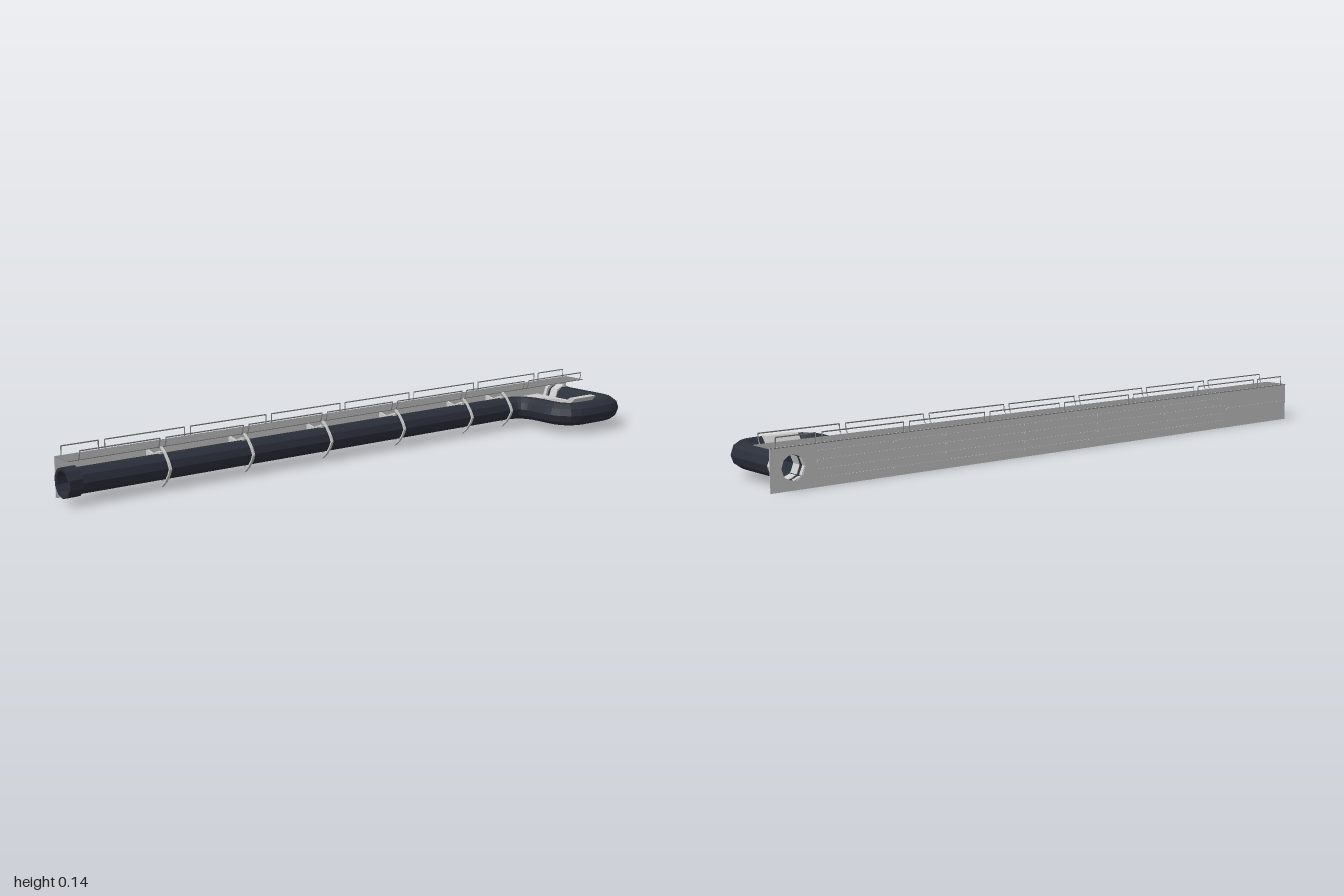
import * as THREE from 'three';

const TUBE_Y = 0.06, TUBE_X = -0.085;
const mat = (color) => new THREE.MeshStandardMaterial({ color, flatShading: true, side: THREE.DoubleSide });
const light = mat(0xcccccc), grey = mat(0x808080), dark = mat(0x2b2f3a);

function add(parent, name, geometry, material, x = 0, y = 0, z = 0) {
  const mesh = new THREE.Mesh(geometry, material);
  mesh.name = name;
  mesh.position.set(x, y, z);
  parent.add(mesh);
  return mesh;
}

const box = (w, h, d) => new THREE.BoxGeometry(w, h, d);
const polygon = (pts) => new THREE.Shape(pts.map(([x, y]) => new THREE.Vector2(x, y)));
const extrude = (shape, depth) => new THREE.ExtrudeGeometry(shape, { depth, bevelEnabled: false, curveSegments: 5 });

// Polyline with rounded corners; corners are [x, z, radius]
function roundedPath(corners) {
  const path = new THREE.CurvePath();
  const pts = corners.map(([x, z]) => new THREE.Vector3(x, TUBE_Y, z));
  let start = pts[0];
  for (let i = 1; i < pts.length - 1; i++) {
    const r = corners[i][2], p = pts[i];
    const a = p.clone().add(pts[i - 1].clone().sub(p).setLength(r));
    const b = p.clone().add(pts[i + 1].clone().sub(p).setLength(r));
    path.add(new THREE.LineCurve3(start, a));
    path.add(new THREE.QuadraticBezierCurve3(a, p, b));
    start = b;
  }
  path.add(new THREE.LineCurve3(start, pts[pts.length - 1]));
  return path;
}

// Open sleeve made by turning a small rectangular section
function sleeve(inner, outer, length, sides) {
  const h = length / 2;
  const profile = [[inner, -h], [outer, -h], [outer, h], [inner, h], [inner, -h]];
  return new THREE.LatheGeometry(profile.map(([x, y]) => new THREE.Vector2(x, y)), sides);
}

// Railing section: top bar and two posts, bent outwards by lean
function railSection(parent, name, x, z0, z1, lean) {
  const rail = new THREE.Group();
  rail.name = name;
  parent.add(rail);
  const top = x + lean;
  add(rail, 'railBar', box(0.003, 0.003, Math.abs(z1 - z0)), grey, top, 0.1435, (z0 + z1) / 2);
  const bend = new THREE.QuadraticBezierCurve3(
    new THREE.Vector3(x, 0.115, 0), new THREE.Vector3(x + lean * 0.9, 0.124, 0), new THREE.Vector3(top, 0.1435, 0));
  for (const z of [z0, z1]) add(rail, 'railPost', new THREE.TubeGeometry(bend, 4, 0.0018, 4), grey, 0, 0, z);
}

export function createModel() {
  const model = new THREE.Group();
  model.name = 'walkwayWithDuct';

  // Side wall with the round duct opening near the back
  const wall = polygon([[-1, 0], [0.98, 0], [0.98, 0.117], [-1, 0.117]]);
  wall.holes.push(new THREE.Path().absarc(-0.93, TUBE_Y, 0.036, 0, Math.PI * 2, true));
  add(model, 'sideWall', extrude(wall, 0.002).rotateY(-Math.PI / 2), light, -0.162);

  // Lengthwise ribs on the wall, one set per bay
  const bays = [0.98, 0.69, 0.41, 0.125, -0.16, -0.445, -0.62, -0.86];
  for (let i = 0; i < bays.length - 1; i++) {
    const length = bays[i] - bays[i + 1] - 0.006, z = (bays[i] + bays[i + 1]) / 2;
    const levels = i === 0 ? [0.06] : [0.022, 0.045, 0.07, 0.094];
    for (const y of levels) add(model, 'wallRib', box(0.0015, 0.006, length), light, -0.1645, y, z);
  }

  // Walking deck
  add(model, 'deck', box(0.08, 0.002, 1.98), grey, -0.125, 0.116, -0.01);

  // Railings, with joints staggered between the two sides
  const outer = [0.97, 0.835, 0.555, 0.27, -0.01, -0.29, -0.57, -0.85, -0.99];
  const inner = [0.96, 0.69, 0.41, 0.125, -0.15, -0.44, -0.72, -0.99];
  for (const [name, stops, x, lean] of [['outerRailing', outer, -0.161, 0], ['innerRailing', inner, -0.085, 0.01]]) {
    for (let i = 0; i < stops.length - 1; i++) railSection(model, name, x, stops[i] - 0.01, stops[i + 1] + 0.01, lean);
  }

  // Duct: enters through the wall, loops round and runs along the deck
  const path = roundedPath([
    [-0.162, -0.93], [0.129, -0.93, 0.07], [0.129, -0.706, 0.07], [TUBE_X, -0.706, 0.085], [TUBE_X, 0.99],
  ]);
  add(model, 'duct', new THREE.TubeGeometry(path, 110, 0.037, 10), dark);
  add(model, 'ductMouth', sleeve(0.034, 0.044, 0.04, 10).rotateX(Math.PI / 2), dark, TUBE_X, TUBE_Y, 0.98);

  // Flange and stepped collar behind the wall opening
  add(model, 'wallFlange', sleeve(0.036, 0.047, 0.012, 8).rotateZ(Math.PI / 2), light, -0.154, TUBE_Y, -0.93);
  add(model, 'ductCollar', sleeve(0.036, 0.043, 0.03, 8).rotateZ(Math.PI / 2), light, -0.12, TUBE_Y, -0.93);

  // Clamps: strap round the outside of the duct, block against the wall
  const strap = polygon([
    [-0.085, 0.117], [-0.063, 0.1], [-0.046, 0.079], [-0.037, 0.06], [-0.046, 0.041], [-0.063, 0.019], [-0.085, 0.001],
    [-0.085, 0.005], [-0.066, 0.021], [-0.05, 0.043], [-0.042, 0.06], [-0.05, 0.077], [-0.066, 0.098], [-0.085, 0.113],
  ]);
  const block = polygon([
    [-0.162, 0.1], [-0.155, 0.094], [-0.13, 0.089], [-0.1, 0.102], [-0.085, 0.102], [-0.085, 0.095], [-0.11, 0.085],
    [-0.121, 0.06], [-0.11, 0.035], [-0.085, 0.025], [-0.085, 0.018], [-0.1, 0.018], [-0.13, 0.031], [-0.155, 0.026], [-0.162, 0.02],
  ]);
  for (const z of [0.69, 0.41, 0.125, -0.16, -0.445, -0.62]) {
    const clamp = new THREE.Group();
    clamp.name = 'clamp';
    clamp.position.z = z - 0.004;
    model.add(clamp);
    add(clamp, 'clampStrap', extrude(strap, 0.008), light);
    add(clamp, 'clampBlock', extrude(block, 0.008), light);
  }

  // Loop support: plate with a six-sided opening and a saddle on the far bend
  const plate = polygon([[-0.162, -0.86], [0.085, -0.86], [0.085, -0.765], [-0.162, -0.765]]);
  plate.holes.push(new THREE.Path([[-0.085, -0.82], [-0.045, -0.845], [0.01, -0.845], [0.045, -0.825],
    [0.045, -0.8], [0.01, -0.78], [-0.045, -0.78], [-0.085, -0.805]].map(([x, z]) => new THREE.Vector2(x, z))));
  add(model, 'supportPlate', extrude(plate, 0.024).rotateX(Math.PI / 2), light, 0, 0.072);
  const saddle = polygon([
    [0.105, 0.104], [0.08, 0.104], [0.062, 0.082], [0.062, 0.038], [0.08, 0.016], [0.105, 0.016],
    [0.098, 0.024], [0.084, 0.04], [0.084, 0.08], [0.098, 0.096],
  ]);
  add(model, 'supportSaddle', extrude(saddle, 0.1), light, 0, 0, -0.863);

  return model;
}
